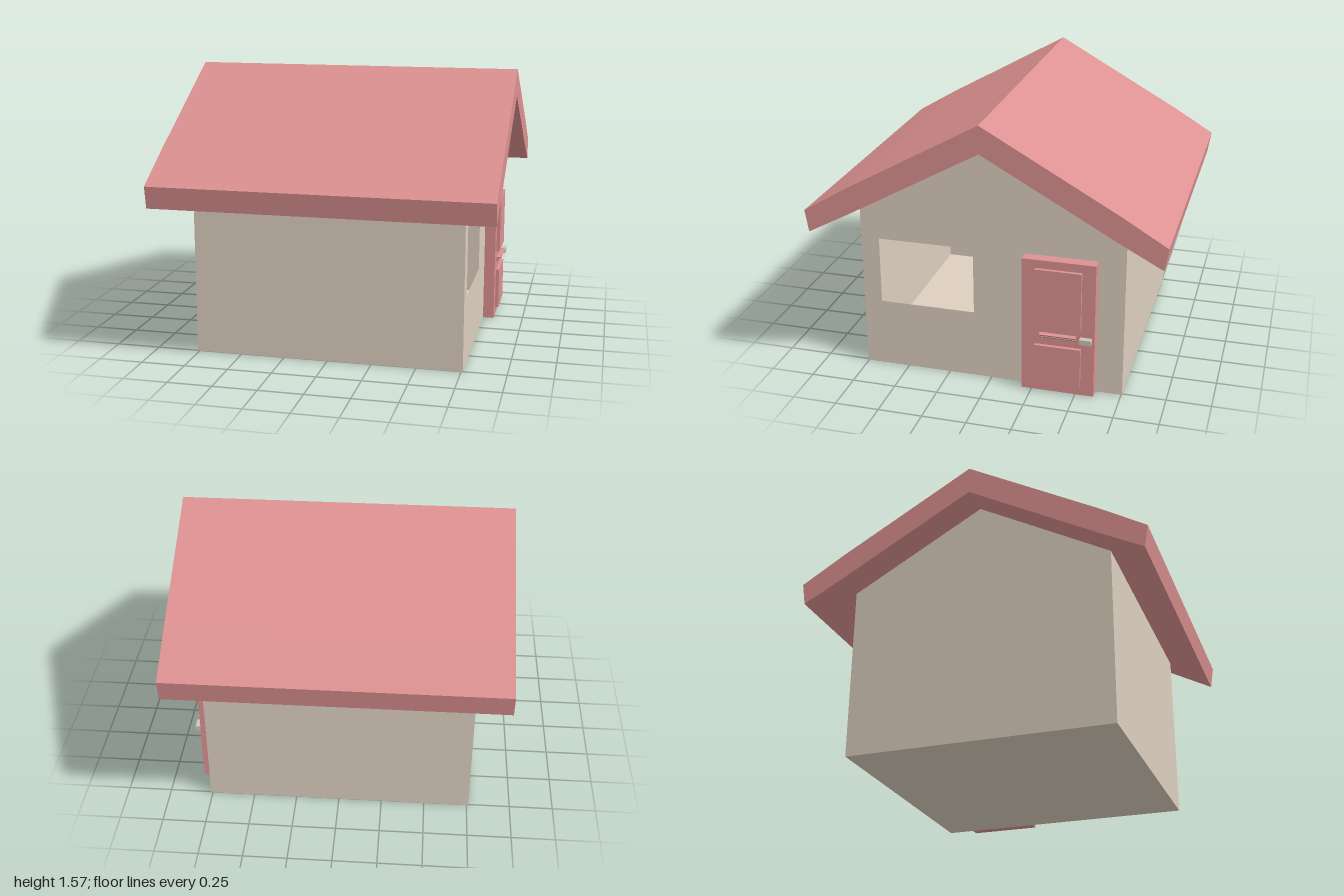
import * as THREE from 'three';

const wallMat = new THREE.MeshStandardMaterial({ color: 0xddcfbf, side: THREE.DoubleSide });
wallMat.name = 'beige wall';
const redMat = new THREE.MeshStandardMaterial({ color: 0xdd9191 });
redMat.name = 'soft red';
const metalMat = new THREE.MeshStandardMaterial({ color: 0xc9c6b8 });
metalMat.name = 'pale metal';

const HX = 0.76, HZ = 0.755, EAVE = 0.995, APEX = 1.415;

function add(parent, name, geometry, material, x = 0, y = 0, z = 0) {
  const mesh = new THREE.Mesh(geometry, material);
  mesh.name = name;
  mesh.position.set(x, y, z);
  parent.add(mesh);
  return mesh;
}

// Box given by its minimum and maximum corners
function addBox(parent, name, material, [x0, y0, z0], [x1, y1, z1]) {
  return add(parent, name, new THREE.BoxGeometry(x1 - x0, y1 - y0, z1 - z0), material,
    (x0 + x1) / 2, (y0 + y1) / 2, (z0 + z1) / 2);
}

const polygon = (points) => new THREE.Shape(points.map(([a, b]) => new THREE.Vector2(a, b)));
const extrude = (shape, depth) => new THREE.ExtrudeGeometry(shape, { depth, bevelEnabled: false });

// Thin-walled hollow body; gable shapes use -z as their horizontal axis
function makeWalls() {
  const walls = new THREE.Group();
  walls.name = 'walls';
  for (const side of [-1, 1]) {
    const gable = polygon([[-HZ, 0], [HZ, 0], [HZ, EAVE], [0, APEX], [-HZ, EAVE]]);
    if (side > 0) {
      gable.holes.push(polygon([[-0.65, 0.4], [-0.65, 0.79], [-0.1, 0.79], [-0.1, 0.4]]));
    }
    const gableGeo = new THREE.ShapeGeometry(gable).rotateY(side * Math.PI / 2);
    add(walls, side > 0 ? 'windowGable' : 'plainGable', gableGeo, wallMat, side * HX);

    const longGeo = new THREE.PlaneGeometry(HX * 2, EAVE);
    if (side < 0) longGeo.rotateY(Math.PI);
    add(walls, side > 0 ? 'frontWall' : 'backWall', longGeo, wallMat, 0, EAVE / 2, side * HZ);
  }
  add(walls, 'floor', new THREE.PlaneGeometry(HX * 2, HZ * 2).rotateX(Math.PI / 2), wallMat);
  return walls;
}

// Gabled roof slab with slightly kicked eaves
function makeRoof() {
  const section = polygon([
    [-1, 1], [-0.98, 0.875], [-HZ, EAVE], [0, APEX], [HZ, EAVE],
    [0.98, 0.875], [1, 1], [0.75, 1.15], [0, 1.57], [-0.75, 1.15],
  ]);
  const geometry = extrude(section, 1.89).translate(0, 0, -0.945).rotateY(Math.PI / 2);
  const roof = new THREE.Mesh(geometry, redMat);
  roof.name = 'roof';
  return roof;
}

// Door with two raised panels, letter flap and handle
function makeDoor() {
  const door = new THREE.Group();
  door.name = 'door';
  const face = 0.825;
  addBox(door, 'doorSlab', redMat, [HX, 0.003, -0.605], [face, 0.8, -0.195]);
  for (const [name, low, high] of [['lowerPanel', 0.05, 0.293], ['upperPanel', 0.41, 0.752]]) {
    addBox(door, name, redMat, [face, low, -0.53], [0.845, high, -0.27]);
  }
  const flap = polygon([[face, 0.335], [0.858, 0.368], [face, 0.368]]);
  add(door, 'letterFlap', extrude(flap, 0.205), redMat, 0, 0, -0.503);
  // narrow metal strip lying on the sloped flap
  const strip = new THREE.BoxGeometry(0.004, 0.009, 0.205).rotateZ(-Math.PI / 4);
  add(door, 'flapStrip', strip, metalMat, 0.8405, 0.3505, -0.4005);
  addBox(door, 'handle', metalMat, [face, 0.335, -0.592], [0.858, 0.365, -0.525]);
  return door;
}

export function createModel() {
  const house = new THREE.Group();
  house.name = 'house';
  house.add(makeWalls(), makeRoof(), makeDoor());
  return house;
}
